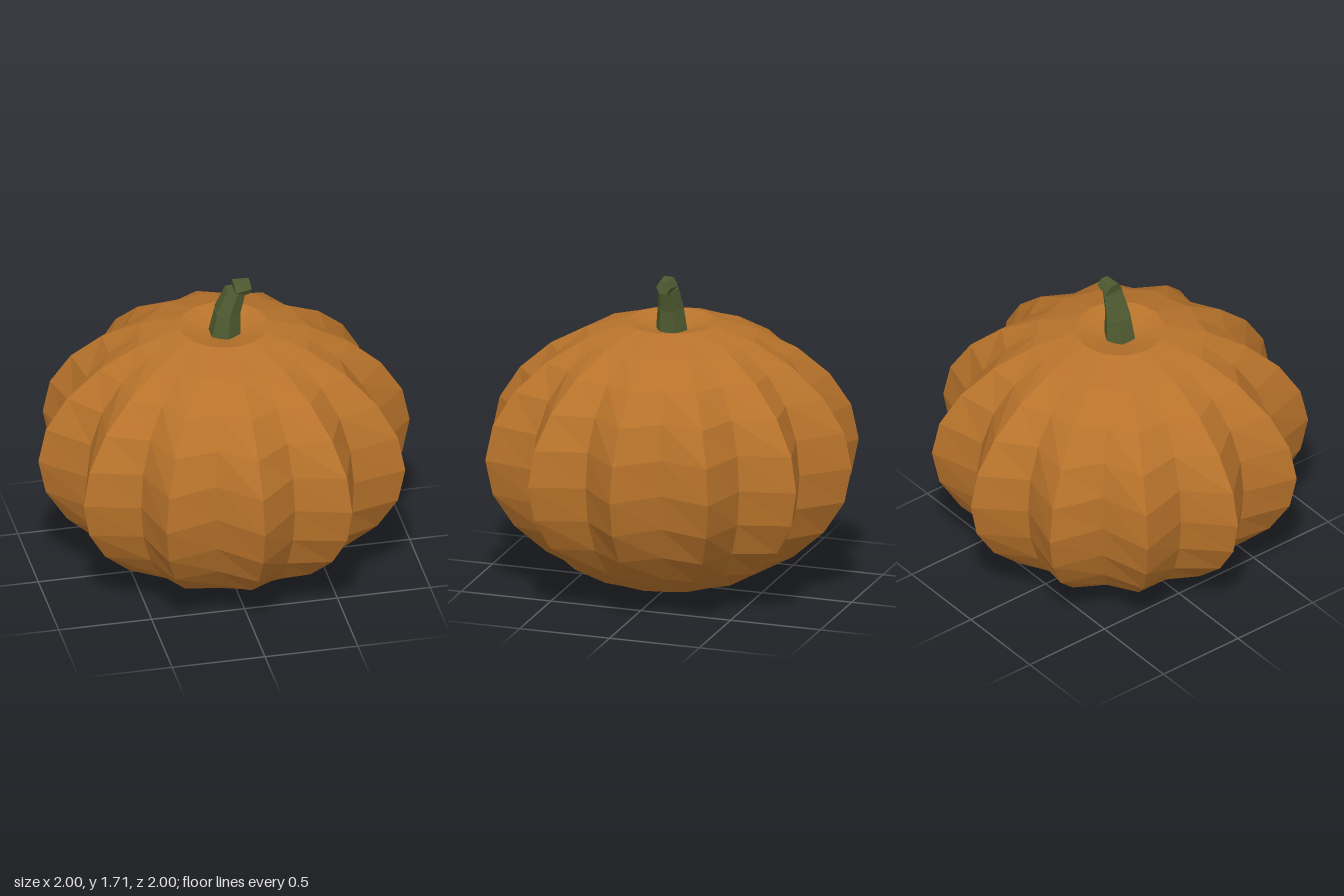
import * as THREE from 'three';

const skin = new THREE.MeshStandardMaterial({ color: 0xb8732b, flatShading: true });
const green = new THREE.MeshStandardMaterial({ color: 0x4f5a30, flatShading: true });

// Squashed sphere with twelve ribs that fade out towards the poles
function createBody() {
  const ribs = 12, halfHeight = 0.738;
  const geometry = new THREE.SphereGeometry(1, ribs * 2, 12);
  const p = geometry.attributes.position;
  for (let i = 0; i < p.count; i++) {
    const x = p.getX(i), y = p.getY(i), z = p.getZ(i);
    const rib = Math.cos(ribs * Math.atan2(z, x)) * (1 - y * y);
    const r = 0.905 + 0.095 * rib;
    // The top pole is pushed in to form the hollow around the stem
    const height = y > 0.99 ? 1.385 : halfHeight * (1 + y);
    p.setXYZ(i, x * r, height, z * r);
  }
  geometry.computeVertexNormals();
  const body = new THREE.Mesh(geometry, skin);
  body.name = 'ribbedBody';
  return body;
}

// Tapered six-sided piece between two points in the xy plane
function stemPiece(name, [x0, y0], [x1, y1], r0, r1) {
  const length = Math.hypot(x1 - x0, y1 - y0);
  const piece = new THREE.Mesh(new THREE.CylinderGeometry(r1, r0, length, 6), green);
  piece.position.set((x0 + x1) / 2, (y0 + y1) / 2, 0);
  piece.rotation.z = -Math.atan2(x1 - x0, y1 - y0);
  piece.name = name;
  return piece;
}

export function createModel() {
  const model = new THREE.Group();
  model.name = 'pumpkin';

  // Stem bending towards +x
  const stem = new THREE.Group();
  stem.name = 'stem';
  stem.add(
    stemPiece('stemBase', [0, 1.38], [0.018, 1.53], 0.09, 0.073),
    stemPiece('stemMiddle', [0.015, 1.53], [0.06, 1.655], 0.073, 0.058),
    stemPiece('stemTip', [0.053, 1.663], [0.14, 1.674], 0.053, 0.04)
  );

  model.add(createBody(), stem);
  return model;
}
